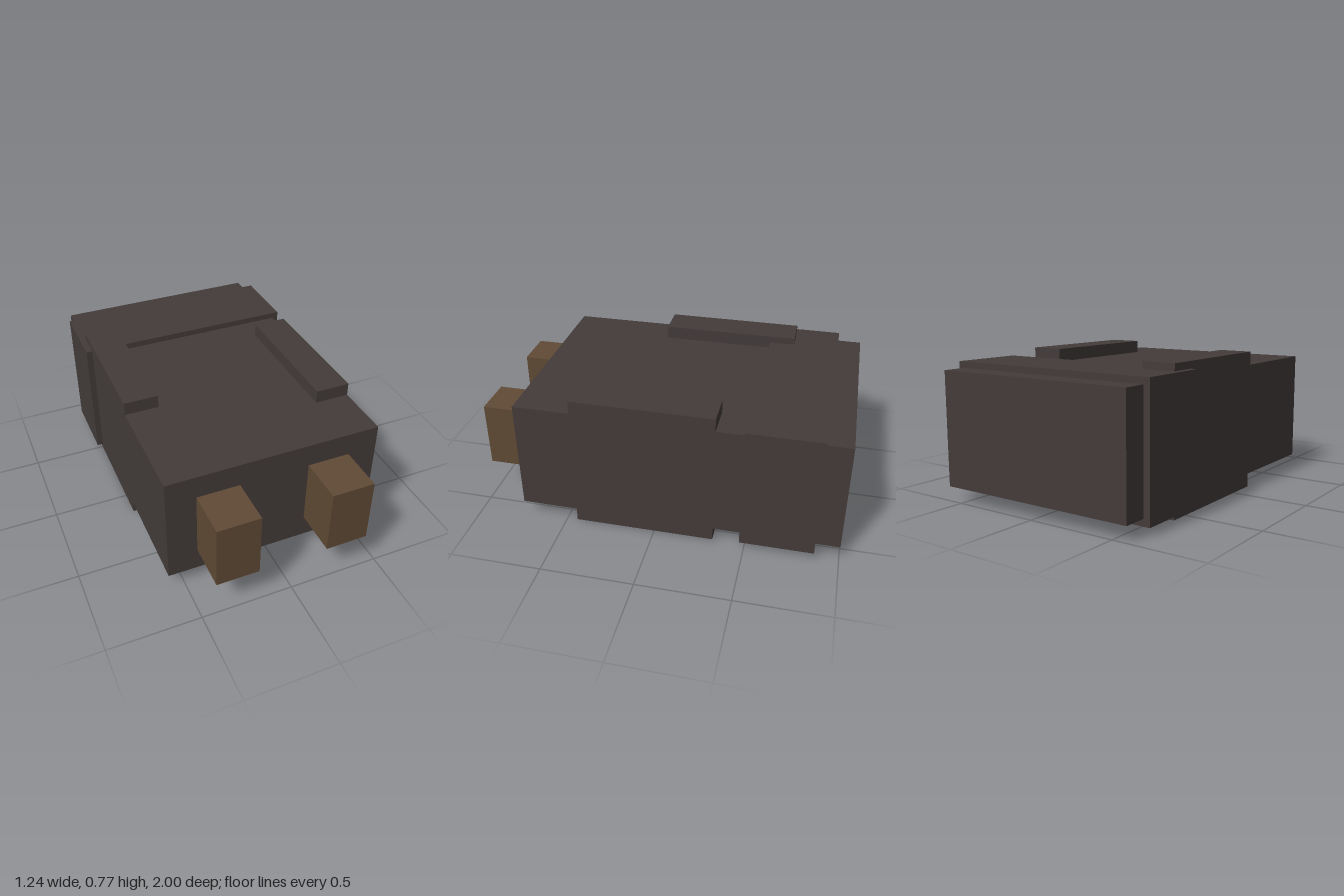
import * as THREE from 'three';

export function createModel() {
  const model = new THREE.Group();
  const darkCasing = new THREE.MeshStandardMaterial({ color: 0x433b3a });
  const brown = new THREE.MeshStandardMaterial({ color: 0x604a35 });
  const tan = new THREE.MeshStandardMaterial({ color: 0xad9871 });
  darkCasing.name = 'darkCasing';
  brown.name = 'brown';
  tan.name = 'tan';

  // Box given by its extents along each axis
  function box(name, material, [x0, x1], [y0, y1], [z0, z1]) {
    const mesh = new THREE.Mesh(new THREE.BoxGeometry(x1 - x0, y1 - y0, z1 - z0), material);
    mesh.position.set((x0 + x1) / 2, (y0 + y1) / 2, (z0 + z1) / 2);
    mesh.name = name;
    model.add(mesh);
  }

  // Main casing and the raised band around its rear
  box('body', darkCasing, [-0.583, 0.583], [0.08, 0.698], [-1, 0.75]);
  box('rearBand', darkCasing, [-0.618, 0.618], [0.042, 0.732], [-0.87, -0.475]);

  // Staggered side rails, standing proud above and below the casing
  box('leftRail', darkCasing, [0.393, 0.583], [0.005, 0.77], [-0.325, 0.44]);
  box('rightRail', darkCasing, [-0.583, -0.396], [0.005, 0.77], [-0.617, 0.148]);

  // Front prongs
  box('leftProng', brown, [0.19, 0.422], [0.206, 0.57], [0.75, 1]);
  box('rightProng', brown, [-0.422, -0.19], [0.206, 0.57], [0.75, 1]);

  // Pad under the casing
  box('bottomPad', tan, [-0.255, 0.255], [0, 0.08], [-0.25, 0.37]);

  return model;
}
